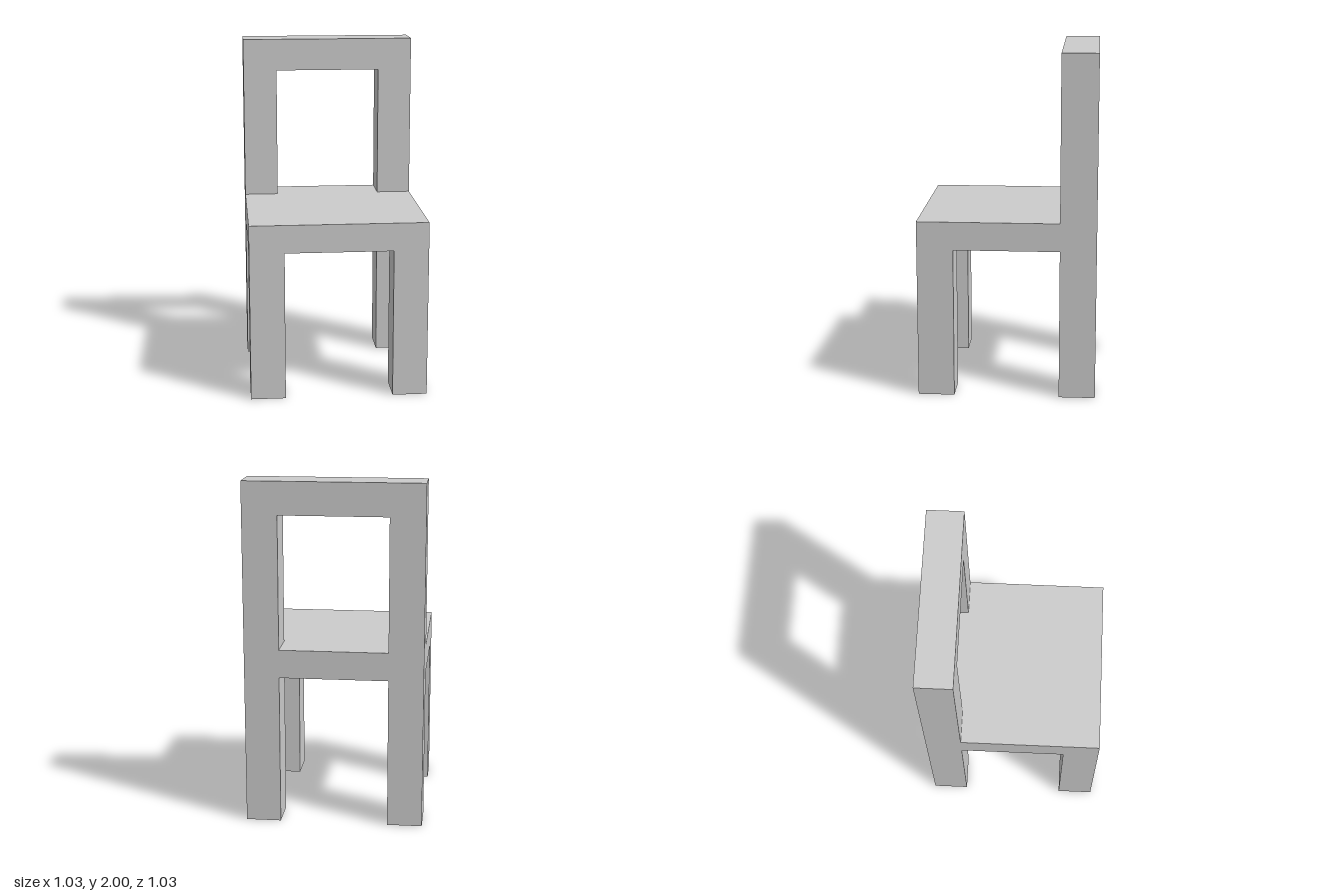
import * as THREE from 'three';

const HALF = 0.515;       // half width and half depth of the chair
const INNER = 0.313;      // inner edge of legs and back posts in x
const INNER_Z = 0.305;    // inner edge of legs and back in z
const SEAT_BOTTOM = 0.873, SEAT_TOP = 1.037;
const RAIL_BOTTOM = 1.81, TOP = 2;

const material = new THREE.MeshStandardMaterial({ color: 0xcccccc, flatShading: true });

// Box given by its extents along each axis
function block(name, [x0, x1], [y0, y1], [z0, z1]) {
  const mesh = new THREE.Mesh(new THREE.BoxGeometry(x1 - x0, y1 - y0, z1 - z0), material);
  mesh.position.set((x0 + x1) / 2, (y0 + y1) / 2, (z0 + z1) / 2);
  mesh.name = name;
  return mesh;
}

export function createModel() {
  const chair = new THREE.Group();
  chair.name = 'chair';

  // Solid seat slab
  chair.add(block('seat', [-HALF, HALF], [SEAT_BOTTOM, SEAT_TOP], [-HALF, HALF]));

  // Four square legs flush with the seat corners
  const front = [INNER_Z, HALF], back = [-HALF, -INNER_Z];
  for (const [side, xs] of [['left', [INNER, HALF]], ['right', [-HALF, -INNER]]]) {
    chair.add(block(`${side}FrontLeg`, xs, [0, SEAT_BOTTOM], front));
    chair.add(block(`${side}BackLeg`, xs, [0, SEAT_BOTTOM], back));
  }

  // Backrest: two posts joined by a top rail, standing on the seat
  const outline = new THREE.Shape([
    [-HALF, SEAT_TOP], [-INNER, SEAT_TOP], [-INNER, RAIL_BOTTOM], [INNER, RAIL_BOTTOM],
    [INNER, SEAT_TOP], [HALF, SEAT_TOP], [HALF, TOP], [-HALF, TOP],
  ].map(([x, y]) => new THREE.Vector2(x, y)));
  const backrest = new THREE.Mesh(
    new THREE.ExtrudeGeometry(outline, { depth: HALF - INNER_Z, bevelEnabled: false }), material);
  backrest.position.z = -HALF;
  backrest.name = 'backrest';
  chair.add(backrest);

  return chair;
}
